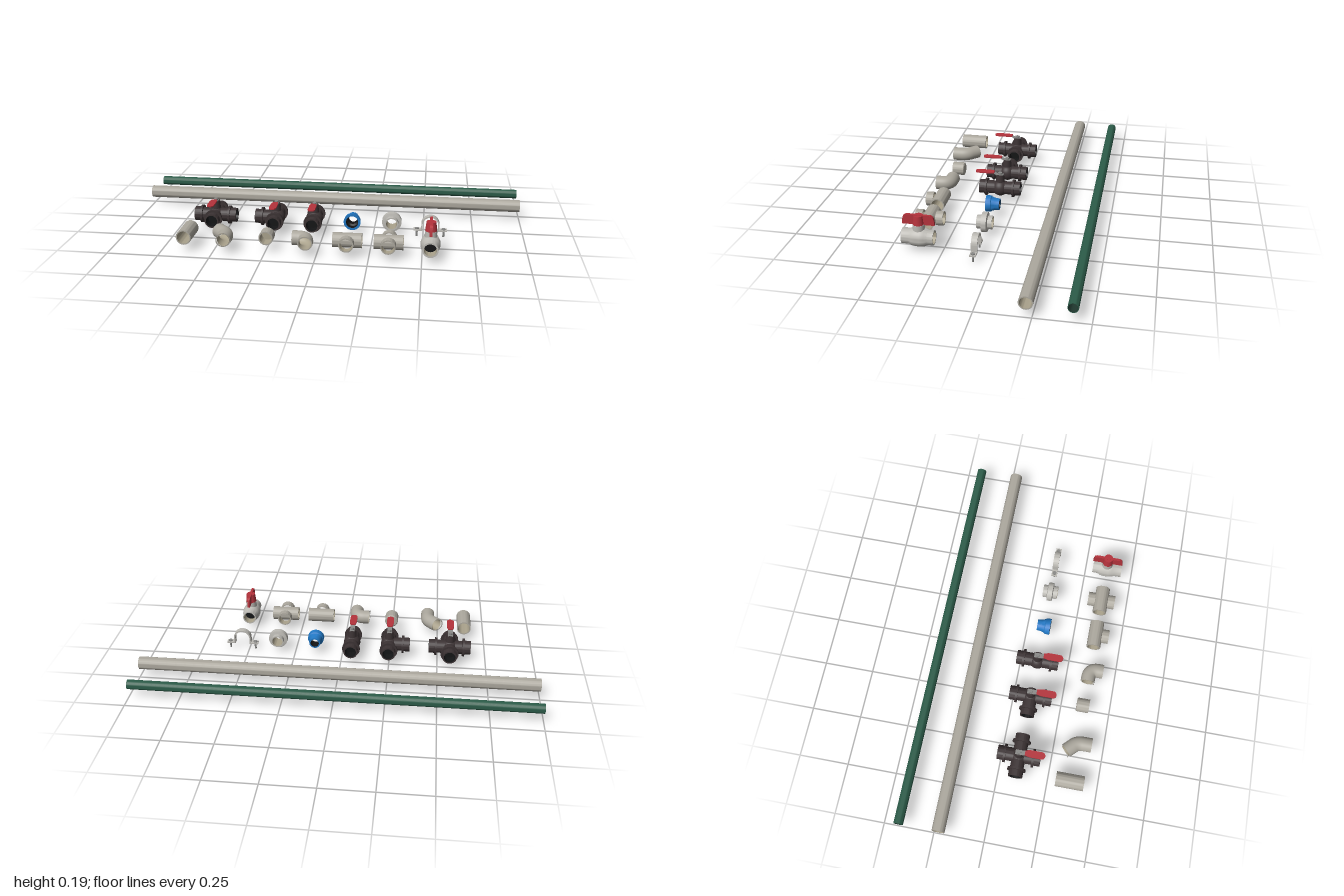
import * as THREE from 'three';
import { toCreasedNormals } from 'three/addons/utils/BufferGeometryUtils.js';

const material = (name, color, side = THREE.FrontSide) => {
  const m = new THREE.MeshStandardMaterial({ color, side });
  m.name = name;
  return m;
};
const MAT = {
  plastic: material('warm grey plastic', 0xaca89e),
  bore: material('tan bore', 0xaaa28c, THREE.DoubleSide),
  pale: material('pale grey', 0xbdbbb5),
  black: material('brown black', 0x3c3334),
  dark: material('dark core', 0x141516, THREE.DoubleSide),
  red: material('red', 0xb5333c),
  green: material('green', 0x2c5c49),
  greenBore: material('dark green bore', 0x20382f, THREE.DoubleSide),
  blue: material('blue', 0x2278c4),
  metal: material('steel', 0x8a8a88),
};
const AXIS_Y = 0.07;

function add(parent, name, geometry, mat) {
  const mesh = new THREE.Mesh(geometry, mat);
  mesh.name = name;
  parent.add(mesh);
  return mesh;
}

function group(parent, name, x = 0, y = 0, z = 0, turn = 0) {
  const g = new THREE.Group();
  g.name = name;
  g.position.set(x, y, z);
  g.rotation.y = turn;
  parent.add(g);
  return g;
}

// Turned part along +z; points are [radius, distance along the axis]
function turned(parent, name, points, mat, sides = 40) {
  const geo = new THREE.LatheGeometry(points.map(p => new THREE.Vector2(...p)), sides);
  return add(parent, name, toCreasedNormals(geo.rotateX(Math.PI / 2), 0.5), mat);
}

// Hollow straight pipe from a to b along z
function sleeve(parent, name, r, ri, a, b, mat = MAT.plastic, bore = MAT.bore) {
  turned(parent, name, [[ri, a], [r, a], [r, b], [ri, b]], mat);
  turned(parent, name + 'Bore', [[ri, b], [ri, a]], bore);
}

// Disc facing along z
function disc(parent, name, r, z, mat) {
  add(parent, name, new THREE.CircleGeometry(r, 40), mat).position.z = z;
}

function extrude(parent, name, shape, depth, mat) {
  const geo = new THREE.ExtrudeGeometry(shape, { depth, bevelEnabled: false, curveSegments: 20 });
  return add(parent, name, toCreasedNormals(geo.translate(0, 0, -depth / 2), 0.5), mat);
}

function polygon(points) {
  return new THREE.Shape(points.map(p => new THREE.Vector2(...p)));
}

// Bent fitting: straight leg from +z, bend at the origin, leg leaving at an angle
function elbow(parent, name, x, z, angle, bend, leg) {
  const g = group(parent, name, x, AXIS_Y, z);
  const out = new THREE.Vector3(-Math.sin(angle), 0, -Math.cos(angle));
  const front = new THREE.Vector3(0, 0, 1);
  const at = (dir, d) => dir.clone().multiplyScalar(d);
  const path = new THREE.CurvePath();
  path.add(new THREE.LineCurve3(at(front, leg), at(front, bend)));
  path.add(new THREE.QuadraticBezierCurve3(at(front, bend), new THREE.Vector3(), at(out, bend)));
  path.add(new THREE.LineCurve3(at(out, bend), at(out, leg)));
  add(g, 'elbowShell', new THREE.TubeGeometry(path, 40, 0.036, 40), MAT.plastic);
  add(g, 'elbowBore', new THREE.TubeGeometry(path, 40, 0.03, 40), MAT.bore);
  for (const dir of [front, out]) {
    const rim = add(g, 'elbowRim', new THREE.RingGeometry(0.03, 0.036, 40), MAT.plastic);
    rim.position.copy(at(dir, leg));
    rim.lookAt(dir.clone().multiplyScalar(2));
  }
}

// Straight run along x with side branches
function branched(parent, name, x, z, turns) {
  const g = group(parent, name, x, AXIS_Y, z);
  sleeve(group(g, 'run', 0, 0, 0, Math.PI / 2), 'runPipe', 0.036, 0.03, -0.07, 0.07);
  for (const turn of turns) sleeve(group(g, 'branch', 0, 0, 0, turn), 'branchPipe', 0.036, 0.03, 0.033, 0.07);
}

// Lever valve with one threaded port per turn angle
function leverValve(parent, x, turns) {
  const g = group(parent, 'leverValve', x, AXIS_Y, 0.091);
  add(g, 'valveBody', new THREE.SphereGeometry(0.043, 32, 20), MAT.black);
  for (const turn of turns) {
    const port = group(g, 'port', 0, 0, 0, turn);
    turned(port, 'portShell', [[0.034, 0], [0.034, 0.066], [0.046, 0.066], [0.046, 0.077],
      [0.036, 0.077], [0.036, 0.108], [0.029, 0.108]], MAT.black);
    turned(port, 'portBore', [[0.029, 0.108], [0.029, 0.06]], MAT.black).material = MAT.dark;
    disc(port, 'ballFace', 0.029, 0.06, MAT.dark);
  }
  // Stem, nut and cranked lever
  add(g, 'stem', new THREE.CylinderGeometry(0.02, 0.024, 0.045, 24), MAT.black).position.y = 0.052;
  add(g, 'stemNut', new THREE.CylinderGeometry(0.011, 0.011, 0.016, 6), MAT.metal).position.y = 0.078;
  const lever = polygon([[-0.018, 0.072], [0.016, 0.072], [0.038, 0.084], [0.125, 0.084],
    [0.125, 0.087], [0.037, 0.087], [0.015, 0.076], [-0.018, 0.076]]);
  extrude(g, 'leverPlate', lever, 0.024, MAT.metal).rotation.y = -Math.PI / 2;
  const grip = new THREE.Shape();
  grip.moveTo(-0.012, 0.03);
  grip.lineTo(0.012, 0.03);
  grip.lineTo(0.018, 0.055);
  grip.lineTo(0.018, 0.112);
  grip.absarc(0, 0.112, 0.018, 0, Math.PI, false);
  grip.lineTo(-0.018, 0.055);
  const gripMesh = extrude(g, 'leverGrip', grip, 0.006, MAT.red);
  gripMesh.rotation.x = Math.PI / 2;
  gripMesh.position.y = 0.086;
}

// Plain ball valve with a butterfly handle
function ballValve(parent, x, z) {
  const g = group(parent, 'ballValve', x, AXIS_Y, z);
  turned(g, 'ballValveShell', [[0.03, -0.073], [0.036, -0.073], [0.037, -0.045], [0.044, -0.03], [0.047, -0.01],
    [0.047, 0.01], [0.044, 0.03], [0.038, 0.045], [0.038, 0.08], [0.03, 0.08]], MAT.pale);
  turned(g, 'ballValveBore', [[0.03, 0.08], [0.03, -0.073]], MAT.bore);
  disc(g, 'ballFace', 0.03, 0.03, MAT.dark);
  disc(g, 'ballFace', 0.03, -0.03, MAT.dark);
  add(g, 'valveNeck', new THREE.CylinderGeometry(0.029, 0.029, 0.04, 32), MAT.pale).position.y = 0.048;
  add(g, 'handleHub', new THREE.CylinderGeometry(0.023, 0.028, 0.046, 32), MAT.red).position.y = 0.09;
  const wing = polygon([[-0.078, 0.066], [-0.03, 0.066], [0, 0.072], [0.03, 0.066], [0.078, 0.066], [0.076, 0.09],
    [0.071, 0.108], [0.06, 0.115], [-0.06, 0.115], [-0.071, 0.108], [-0.076, 0.09]]);
  extrude(g, 'handleWings', wing, 0.013, MAT.red).rotation.y = -Math.PI / 2;
}

// Saddle clip with two screws
function clip(parent, x, z) {
  const g = group(parent, 'pipeClip', x, 0, z);
  const s = new THREE.Shape();
  s.moveTo(-0.083, 0.032);
  s.lineTo(-0.038, 0.032);
  s.lineTo(-0.038, 0.066);
  s.absarc(0, 0.066, 0.038, Math.PI, 0, true);
  s.lineTo(0.038, 0.032);
  s.lineTo(0.083, 0.032);
  s.lineTo(0.083, 0.039);
  s.lineTo(0.045, 0.039);
  s.lineTo(0.045, 0.066);
  s.absarc(0, 0.066, 0.045, 0, Math.PI, false);
  s.lineTo(-0.045, 0.039);
  s.lineTo(-0.083, 0.039);
  extrude(g, 'clipStrap', s, 0.03, MAT.pale);
  for (const side of [-1, 1]) {
    add(g, 'clipScrew', new THREE.CylinderGeometry(0.006, 0.005, 0.04, 12), MAT.metal).position.set(side * 0.067, 0.02, 0);
    add(g, 'screwHead', new THREE.CylinderGeometry(0.01, 0.01, 0.006, 16), MAT.metal).position.set(side * 0.067, 0.041, 0);
  }
}

export function createModel() {
  const model = new THREE.Group();
  model.name = 'pipeFittingsSet';
  const H = Math.PI / 2;

  // Long pipes
  const grey = group(model, 'greyPipe', 0, AXIS_Y, -0.223, H);
  sleeve(grey, 'greyPipeWall', 0.032, 0.027, -1, 1);
  disc(grey, 'greyPipeCore', 0.027, 0, MAT.dark);
  const green = group(model, 'greenPipe', 0, AXIS_Y, -0.42, H);
  sleeve(green, 'greenPipeWall', 0.0237, 0.021, -1, 1, MAT.green, MAT.greenBore);
  disc(green, 'greenPipeCore', 0.021, 0, MAT.dark);

  // Back row: four-way, three-way and two-way valves
  leverValve(model, -0.561, [0, H, 2 * H, 3 * H]);
  leverValve(model, -0.246, [0, 2 * H, 3 * H]);
  leverValve(model, -0.051, [0, 2 * H]);

  // Reducer, union and clip
  const reducer = group(model, 'reducer', 0.144, AXIS_Y, 0.09);
  turned(reducer, 'reducerShell', [[0.022, -0.035], [0.029, -0.035], [0.031, -0.012], [0.037, 0.005],
    [0.041, 0.008], [0.043, 0.033], [0.031, 0.033]], MAT.blue, 24);
  turned(reducer, 'reducerBore', [[0.031, 0.033], [0.031, 0.005], [0.022, 0], [0.022, -0.035]], MAT.dark);
  const union = group(model, 'union', 0.342, AXIS_Y, 0.088);
  turned(union, 'unionShell', [[0.027, -0.038], [0.033, -0.038], [0.033, -0.016], [0.049, -0.013],
    [0.049, 0.013], [0.034, 0.016], [0.034, 0.038], [0.027, 0.038]], MAT.pale);
  turned(union, 'unionBore', [[0.027, 0.038], [0.027, -0.038]], MAT.bore);
  clip(model, 0.535, 0.089);

  // Front row: coupling, bends, cap, tee, cross and ball valve
  sleeve(group(model, 'coupling', -0.64, AXIS_Y, 0.36), 'couplingWall', 0.037, 0.031, -0.07, 0.07);
  elbow(model, 'shallowElbow', -0.443, 0.365, Math.PI / 4, 0.025, 0.072);
  const cap = group(model, 'endCap', -0.246, AXIS_Y, 0.36);
  turned(cap, 'capShell', [[0, -0.032], [0.03, -0.032], [0.035, -0.028], [0.035, 0.032], [0.029, 0.032]], MAT.plastic);
  turned(cap, 'capBore', [[0.029, 0.032], [0.029, -0.026], [0, -0.026]], MAT.bore);
  elbow(model, 'squareElbow', -0.05, 0.363, H, 0.045, 0.07);
  branched(model, 'tee', 0.144, 0.362, [0]);
  branched(model, 'cross', 0.342, 0.362, [0, 2 * H]);
  ballValve(model, 0.538, 0.361);
  return model;
}
